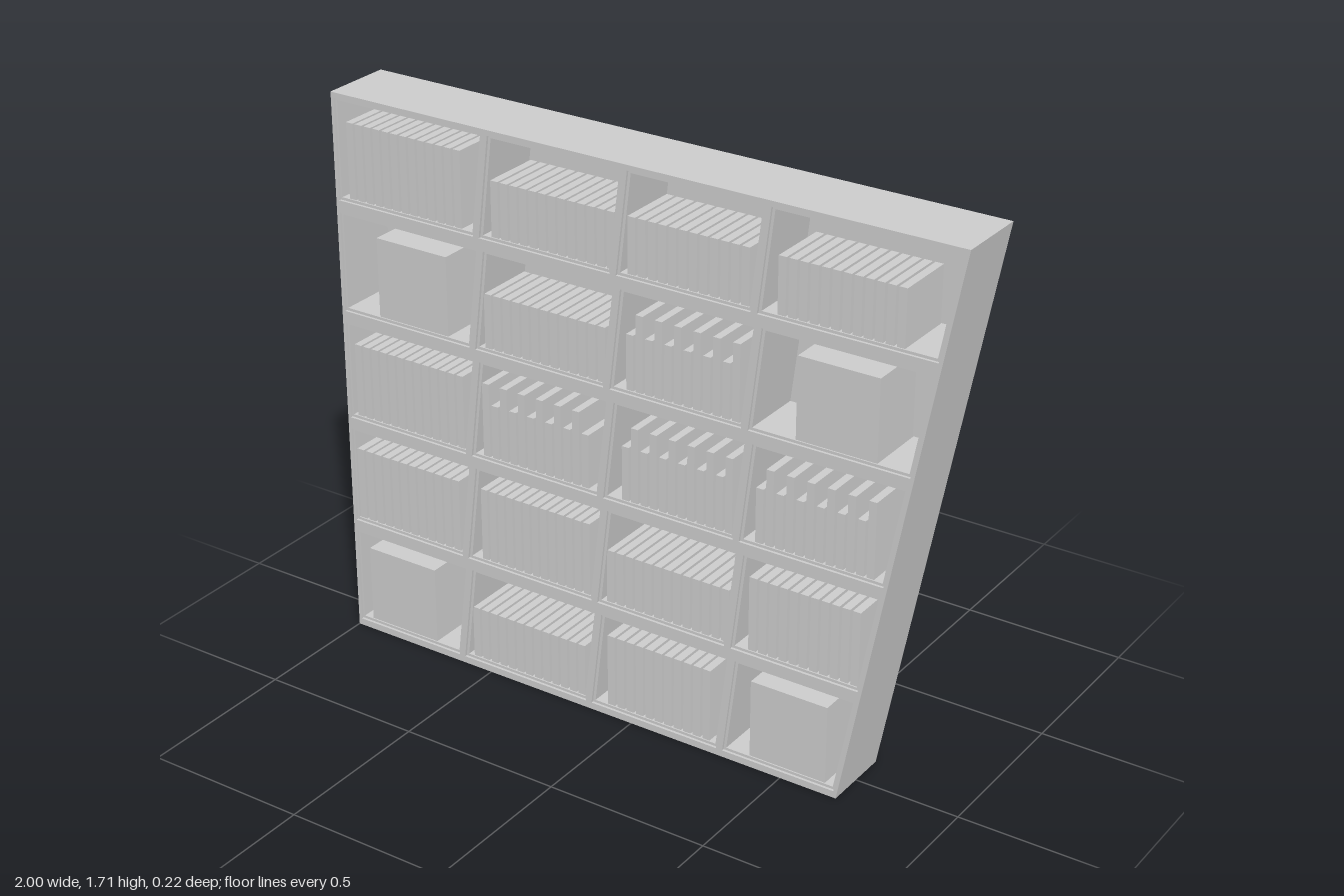
import * as THREE from 'three';

const H = 1.706, BACK = -0.09, FRONT = 0.11, STEP = 0.341, LIP = 0.008;
const grey = new THREE.MeshStandardMaterial({ color: 0xcccccc, flatShading: true });

const sideX = (y) => 0.68 + (0.32 * y) / H; // slanted right edge
const floorY = (row) => 1.393 - row * STEP;

// Slanted dividers: top x in the top row, and shift for each lower row
const dividers = [[-0.47, -0.0246], [-0.016, -0.0236], [0.425, -0.022]];

// Corners of one bay, shrunk by the inset
function bay(row, col, inset) {
  const y0 = floorY(row) - LIP + inset, y1 = floorY(row) - LIP + 0.305 - inset;
  const divX = (i, y) => {
    const [x, shift] = dividers[i];
    const t = (floorY(row) - LIP + 0.305 - y) / 0.305;
    return x + shift * row - 0.0375 * t;
  };
  const left = (y) => (col === 0 ? -0.99 + inset * 0.7 : divX(col - 1, y) + 0.01 + inset);
  const right = (y) => (col === 3 ? sideX(y) - 0.012 - inset : divX(col, y) - 0.01 - inset);
  return [[left(y0), y0], [right(y0), y0], [right(y1), y1], [left(y1), y1]];
}

const vectors = (pts) => pts.map(([x, y]) => new THREE.Vector2(x, y));

function slab(name, outline, holes, z0, z1) {
  const shape = new THREE.Shape(vectors(outline));
  shape.holes = holes.map((h) => new THREE.Path(vectors(h)));
  const geo = new THREE.ExtrudeGeometry(shape, { depth: z1 - z0, bevelEnabled: false });
  geo.translate(0, 0, z0);
  const mesh = new THREE.Mesh(geo, grey);
  mesh.name = name;
  return mesh;
}

// Block standing on a shelf floor
function block(name, x0, width, row, height) {
  const depth = 0.185;
  const mesh = new THREE.Mesh(new THREE.BoxGeometry(width, height, depth), grey);
  mesh.position.set(x0 + width / 2, floorY(row) + height / 2, BACK + 0.003 + depth / 2);
  mesh.name = name;
  return mesh;
}

const LOW = 0.165, TALL = 0.228;

// Rows of books: row, first x, last x, heights repeated along the row
const bookRows = [
  [0, -0.96, -0.564, [TALL]],
  [0, -0.462, -0.056, [LOW]],
  [0, -0.013, 0.366, [LOW]],
  [0, 0.452, 0.826, [LOW]],
  [1, -0.495, -0.088, [LOW]],
  [1, -0.019, 0.342, [LOW, TALL]],
  [2, -0.971, -0.58, [TALL]],
  [2, -0.511, -0.147, [TALL, LOW]],
  [2, -0.035, 0.324, [LOW, TALL]],
  [2, 0.398, 0.765, [LOW, TALL]],
  [3, -0.982, -0.607, [TALL]],
  [3, -0.527, -0.147, [TALL]],
  [3, -0.088, 0.318, [LOW]],
  [3, 0.382, 0.73, [TALL]],
  [4, -0.569, -0.168, [LOW]],
  [4, -0.088, 0.26, [TALL]],
];

// Storage boxes: row, left x
const boxes = [[1, -0.87], [1, 0.516], [4, -0.954], [4, 0.393]];

export function createModel() {
  const model = new THREE.Group();
  model.name = 'slantedBookcase';

  const outline = [[-1, 0], [sideX(0), 0], [sideX(H), H], [-1, H]];
  const cells = [];
  for (let row = 0; row < 5; row++) for (let col = 0; col < 4; col++) cells.push([row, col]);

  // Carcass with openings, and its back panel
  model.add(slab('frame', outline, cells.map(([r, c]) => bay(r, c, 0)), BACK, FRONT));
  model.add(slab('backPanel', outline, [], -0.11, BACK));

  // Thin lining set back inside each opening
  const linings = new THREE.Group();
  linings.name = 'bayLinings';
  for (const [r, c] of cells) {
    linings.add(slab('bayLining', bay(r, c, 0), [bay(r, c, LIP)], BACK, FRONT - 0.008));
  }
  model.add(linings);

  // Books with narrow gaps between them
  for (const [row, x0, x1, heights] of bookRows) {
    const group = new THREE.Group();
    group.name = 'bookRow';
    const gap = 0.008;
    let count = Math.round((x1 - x0 + gap) / 0.031);
    if (heights.length > 1) count = 12;
    const pitch = (x1 - x0 + gap) / count;
    for (let i = 0; i < count; i++) {
      group.add(block('book', x0 + i * pitch, pitch - gap, row, heights[i % heights.length]));
    }
    model.add(group);
  }

  for (const [row, x] of boxes) model.add(block('storageBox', x, 0.245, row, 0.242));
  return model;
}
